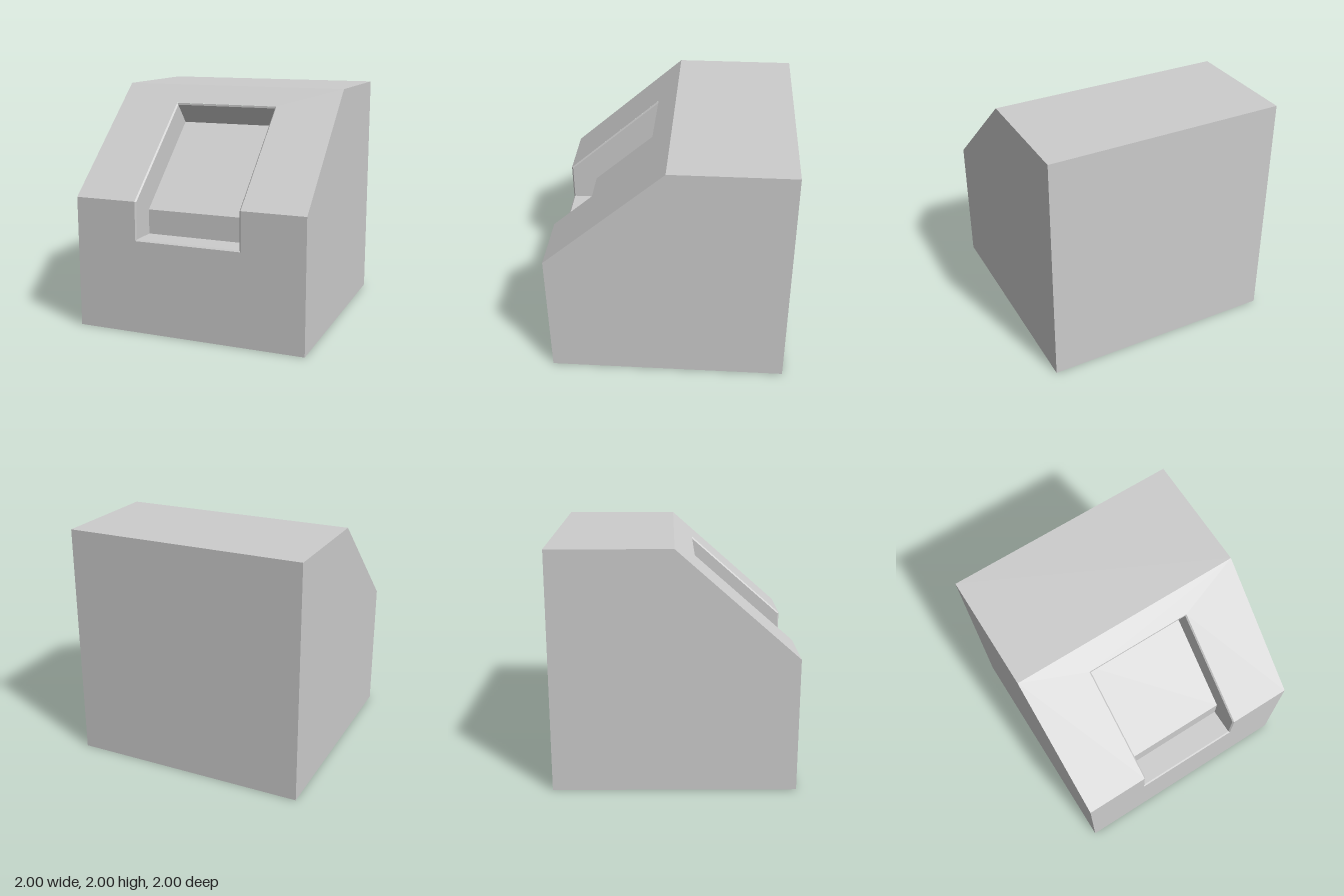
import * as THREE from 'three';

// All profile points are [z, y] pairs.
const HALF = 1;        // half width of the body
const OUT = 0.462;     // half width of the opening at the surface
const INN = 0.451;     // half width inside the lip

const EDGE = [1, 1.12], RIDGE = [0, 2];
const openTop = [0.17, 1.85], openLow = [1, 0.79];
const lipTop = [0.171, 1.833], lipEdge = [0.988, 1.115], lipLow = [0.988, 0.802];
const deepTop = [0.024, 1.666], deepEdge = [0.77, 1.01], deepLow = [0.77, 0.802];

const at = (x, profile) => profile.map(([z, y]) => [x, y, z]);

// Flat quads between two equally long rows of points
function ribbon(a, b) {
  const pos = [];
  for (let i = 0; i < a.length - 1; i++) {
    pos.push(...a[i], ...a[i + 1], ...b[i + 1], ...a[i], ...b[i + 1], ...b[i]);
  }
  const g = new THREE.BufferGeometry();
  g.setAttribute('position', new THREE.Float32BufferAttribute(pos, 3));
  g.computeVertexNormals();
  return g;
}

const polygon = (pts) =>
  new THREE.ShapeGeometry(new THREE.Shape(pts.map(([x, y]) => new THREE.Vector2(x, y))));

// Side profile as a flat face at x, facing +x (dir 1) or -x (dir -1)
function sideFace(profile, x, dir) {
  return polygon(profile.map(([z, y]) => [-dir * z, y]))
    .rotateY(dir * Math.PI / 2)
    .translate(x, 0, 0);
}

export function createModel() {
  const grey = new THREE.MeshStandardMaterial({ color: 0xcccccc });
  grey.name = 'plain grey';

  const model = new THREE.Group();
  model.name = 'slopedBlock';
  const add = (name, geometry, parent = model) => {
    const mesh = new THREE.Mesh(geometry, grey);
    mesh.name = name;
    parent.add(mesh);
    return mesh;
  };

  // Top, back and underside
  const wrap = [RIDGE, [-1, 2], [-1, 0], [1, 0]];
  add('topBackAndBase', ribbon(at(HALF, wrap), at(-HALF, wrap)));

  // Left and right sides
  const side = [...wrap, EDGE];
  add('leftSide', sideFace(side, HALF, 1));
  add('rightSide', sideFace(side, -HALF, -1));

  // Front face with a notch cut down from its upper edge
  add('frontFace', polygon([
    [-HALF, 0], [HALF, 0], [HALF, EDGE[1]], [OUT, EDGE[1]],
    [OUT, openLow[1]], [-OUT, openLow[1]], [-OUT, EDGE[1]], [-HALF, EDGE[1]],
  ]).translate(0, 0, 1));

  // Sloping face with a notch cut up from its lower edge
  const rise = RIDGE[1] - EDGE[1];
  const length = Math.hypot(1, rise);
  const notch = length * (1 - openTop[0]);
  add('slopeFace', polygon([
    [-HALF, 0], [-OUT, 0], [-OUT, notch], [OUT, notch],
    [OUT, 0], [HALF, 0], [HALF, length], [-HALF, length],
  ]).rotateX(-Math.atan2(1, rise)).translate(0, EDGE[1], EDGE[0]));

  // Recess: thin chamfered lip, stepped bed and two cheeks
  const recess = new THREE.Group();
  recess.name = 'recess';
  model.add(recess);

  const loop = (x, low, edge, top) =>
    [...at(-x, [low, edge, top]), ...at(x, [top, edge, low]), ...at(-x, [low])];
  add('recessLip', ribbon(
    loop(INN, lipLow, lipEdge, lipTop),
    loop(OUT, openLow, EDGE, openTop)), recess);

  const bed = [lipTop, deepTop, deepEdge, deepLow, lipLow];
  add('recessBed', ribbon(at(-INN, bed), at(INN, bed)), recess);

  const cheek = [...bed, lipEdge];
  add('recessLeftCheek', sideFace(cheek, INN, -1), recess);
  add('recessRightCheek', sideFace(cheek, -INN, 1), recess);

  return model;
}
